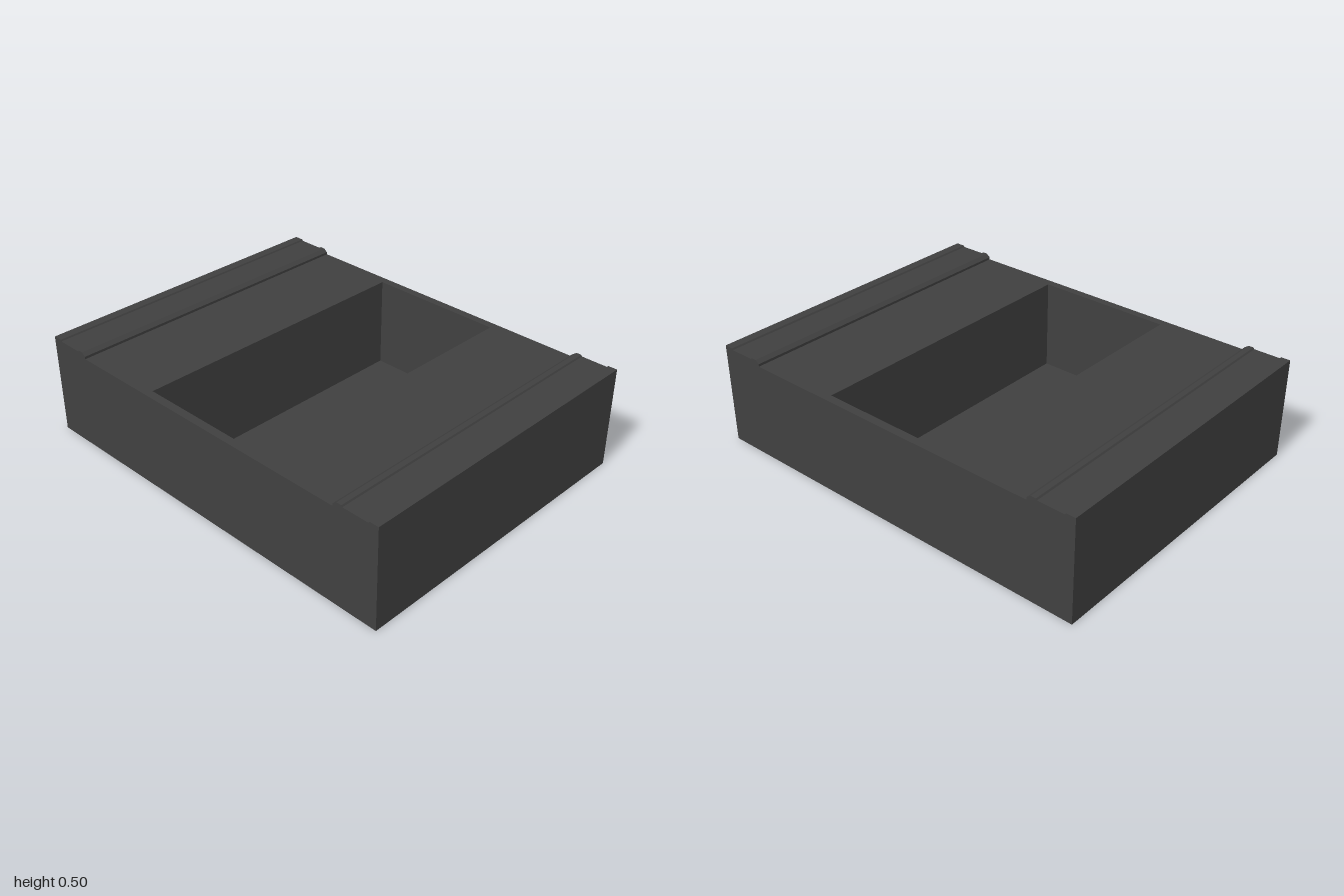
import * as THREE from 'three';
import { mergeGeometries } from 'three/addons/utils/BufferGeometryUtils.js';

const HALF_Z = 0.77, DECK = 0.47;
const POCKET = { x: 0.34, z: 0.73, floor: 0.015 };

// Right half of the front outline, from the deck edge over the raised rail to the base.
const HALF = [
  [0.77, DECK], [0.77, 0.482], [0.79, 0.497], [0.815, 0.497], [0.82, 0.49],
  [0.95, 0.49], [0.955, 0.497], [1, 0.497], [1, 0],
];

// Outline swept along z, leaving the deck span open.
function sweptSkin(points) {
  const pos = [];
  for (let i = 0; i < points.length - 1; i++) {
    const [ax, ay] = points[i], [bx, by] = points[i + 1];
    const a = [ax, ay, -HALF_Z], b = [bx, by, -HALF_Z];
    const c = [bx, by, HALF_Z], d = [ax, ay, HALF_Z];
    pos.push(...a, ...d, ...c, ...a, ...c, ...b);
  }
  const g = new THREE.BufferGeometry();
  g.setAttribute('position', new THREE.Float32BufferAttribute(pos, 3));
  g.computeVertexNormals();
  return g;
}

function bare(g) {
  const out = g.index ? g.toNonIndexed() : g;
  out.deleteAttribute('uv');
  return out;
}

const rect = (x, z) => [[-x, -z], [x, -z], [x, z], [-x, z]].map(p => new THREE.Vector2(...p));

export function createModel() {
  const group = new THREE.Group();
  group.name = 'block';
  const material = new THREE.MeshStandardMaterial({ color: 0x404040 });
  const add = (name, geometry) => {
    const mesh = new THREE.Mesh(geometry, material);
    mesh.name = name;
    group.add(mesh);
  };

  // Outer body with rails, sides, base and end faces
  const outline = [...HALF, ...HALF.map(([x, y]) => [-x, y]).reverse()];
  const endShape = new THREE.Shape(outline.map(p => new THREE.Vector2(...p)));
  const front = new THREE.ShapeGeometry(endShape).translate(0, 0, HALF_Z);
  const back = new THREE.ShapeGeometry(endShape).rotateY(Math.PI).translate(0, 0, -HALF_Z);
  add('body', mergeGeometries([sweptSkin(outline), bare(front), bare(back)]));

  // Flat deck around the pocket opening
  const deck = new THREE.Shape(rect(HALF[0][0], HALF_Z));
  deck.holes.push(new THREE.Path(rect(POCKET.x, POCKET.z)));
  add('deck', new THREE.ShapeGeometry(deck).rotateX(-Math.PI / 2).translate(0, DECK, 0));

  // Pocket: an inward-facing box without its lid
  const depth = DECK - POCKET.floor;
  const box = new THREE.BoxGeometry(POCKET.x * 2, depth, POCKET.z * 2);
  const faces = Array.from(box.index.array);
  faces.splice(12, 6);
  box.setIndex(faces.reverse());
  box.clearGroups();
  const pocket = bare(box);
  pocket.computeVertexNormals();
  pocket.translate(0, POCKET.floor + depth / 2, 0);
  add('pocket', pocket);

  return group;
}
